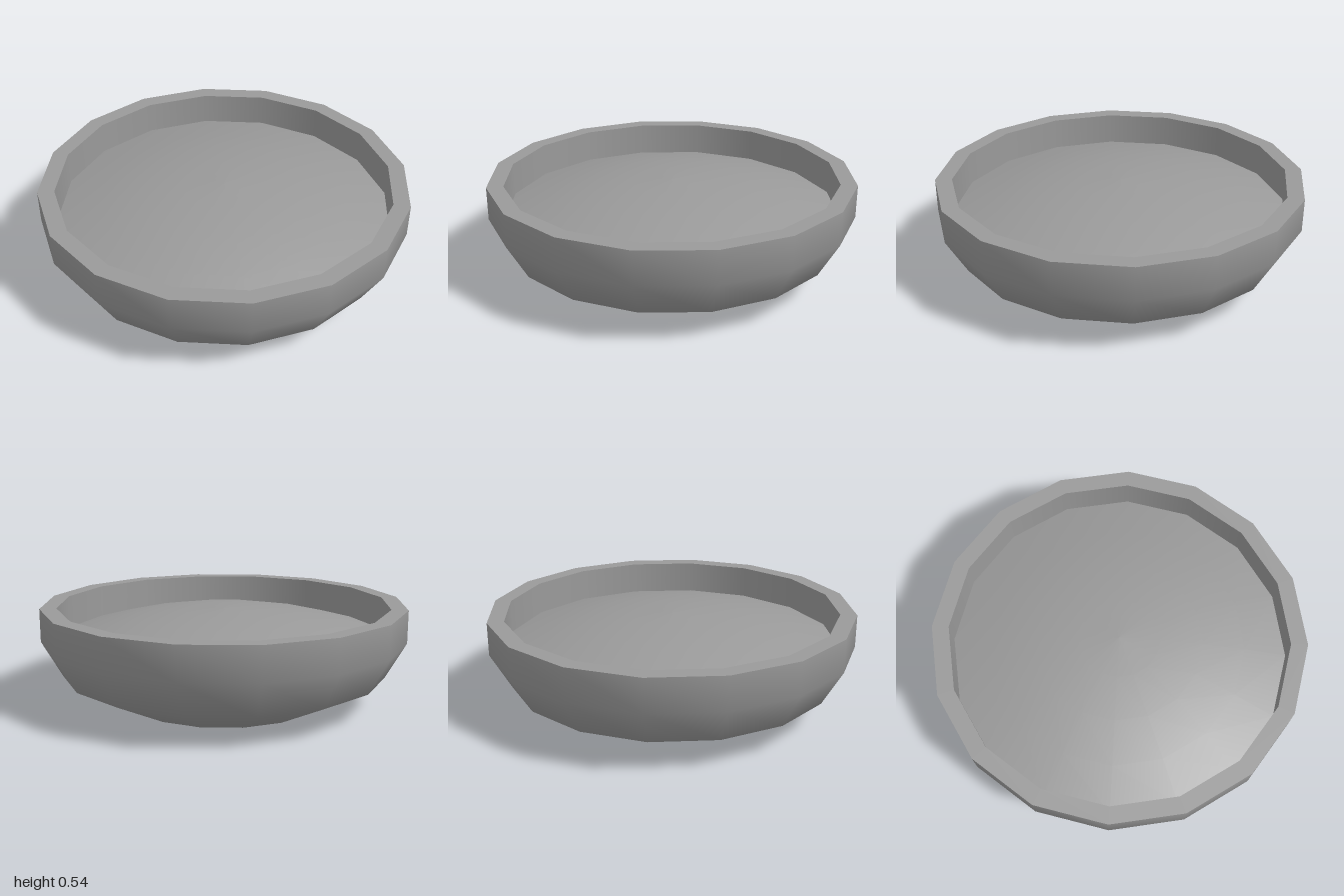
import * as THREE from 'three';

const SIDES = 16;

export function createModel() {
  const bowl = new THREE.Group();
  bowl.name = 'bowl';
  const material = new THREE.MeshStandardMaterial({ color: 0x9a9a9a, side: THREE.DoubleSide });

  // Each ring is turned separately so the seams between them stay sharp
  const turn = (name, profile) => {
    const points = profile.map(([r, y]) => new THREE.Vector2(r, y));
    const mesh = new THREE.Mesh(new THREE.LatheGeometry(points, SIDES), material);
    mesh.name = name;
    bowl.add(mesh);
  };

  // Rounded outside, from the centre of the base up to the rim
  turn('outerShell', [[0, 0], [0.55, 0], [0.89, 0.165], [1, 0.36], [1, 0.54]]);

  // Flat top edge and the straight wall inside it
  turn('rim', [[1, 0.54], [0.91, 0.54]]);
  turn('innerWall', [[0.91, 0.54], [0.91, 0.36]]);

  // Domed floor filling the bowl
  const floor = [0.91, 0.68, 0.45, 0.22, 0].map((r) => [r, 0.36 + 0.15 * (1 - (r / 0.91) ** 2)]);
  turn('floor', floor);

  return bowl;
}
